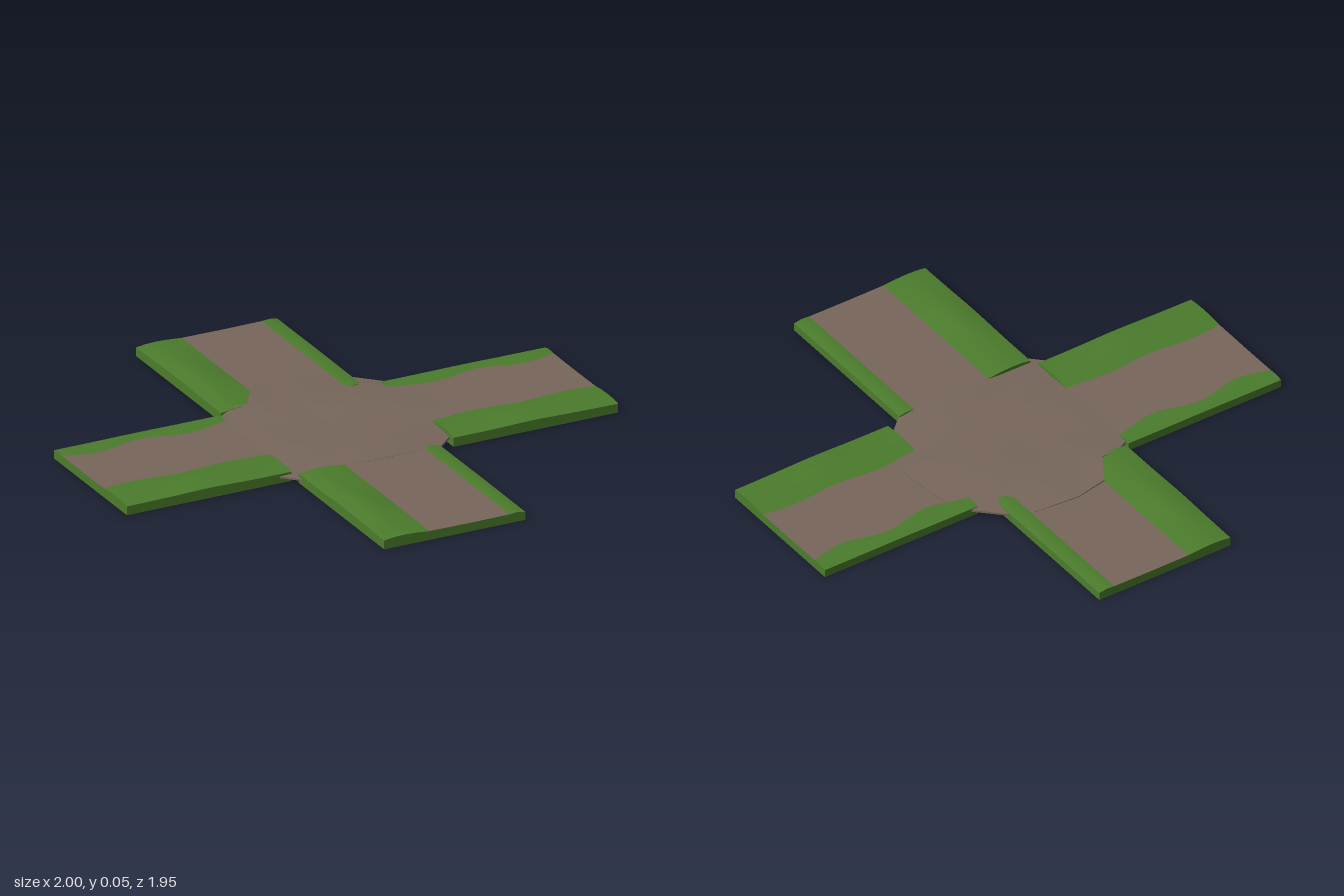
import * as THREE from 'three';
import { toCreasedNormals } from 'three/addons/utils/BufferGeometryUtils.js';

const grass = new THREE.MeshStandardMaterial({ name: 'grass', color: 0x4b7c2c });
const dirt = new THREE.MeshStandardMaterial({ name: 'dirt', color: 0x77665a });

// Collects triangles and quads, corners counter-clockwise from outside
class Faces {
  pos = [];
  tri(a, b, c) { this.pos.push(...a, ...b, ...c); }
  quad(a, b, c, d) { this.tri(a, b, c); this.tri(a, c, d); }
  mesh(name, material) {
    const g = new THREE.BufferGeometry();
    g.setAttribute('position', new THREE.Float32BufferAttribute(this.pos, 3));
    const m = new THREE.Mesh(toCreasedNormals(g, 0.6), material);
    m.name = name;
    return m;
  }
}

// Cross-section of a road arm: [across, height, swell, sway of the dirt edge]
const SECTION = [
  [-0.315, 0.038, 0.004, 0], [-0.275, 0.044, 0.007, 0], [-0.235, 0.046, 0.009, 0],
  [-0.185, 0.043, 0.005, 0], [-0.13, 0.037, 0, -0.4],
  [0.035, 0.036, 0, 0],
  [0.195, 0.037, 0, 1], [0.228, 0.040, 0.002, 0.5], [0.26, 0.034, 0.001, 0],
];
const DIRT_FIRST = 4, DIRT_LAST = 6;

// One arm running along z from v0 to v1
function createArm(name, v0, v1, sway) {
  const steps = 16, rows = [];
  for (let i = 0; i <= steps; i++) {
    const v = v0 + (v1 - v0) * i / steps, d = Math.abs(v);
    const swell = Math.exp(-(((d - 0.66) / 0.13) ** 2)) - 0.25 * Math.max(0, d - 0.85) / 0.12;
    const wave = -sway * Math.cos(2 * Math.PI * (d - 0.5) / 0.37);
    rows.push(SECTION.map(([u, h, s, w]) => [u + w * wave + (w === 1 ? -sway * 0.7 : 0), h + s * swell, v]));
  }
  const green = new Faces(), brown = new Faces();
  const low = ([x, , z]) => [x, 0.002, z];
  const last = SECTION.length - 1;
  for (let i = 0; i < steps; i++) {
    const a = rows[i], b = rows[i + 1];
    for (let j = 0; j < last; j++) {
      const f = j >= DIRT_FIRST && j < DIRT_LAST ? brown : green;
      f.quad(a[j], b[j], b[j + 1], a[j + 1]);
    }
    // long sides
    green.quad(low(a[0]), low(b[0]), b[0], a[0]);
    green.quad(low(b[last]), low(a[last]), a[last], b[last]);
  }
  // ends and underside
  const s = rows[0], e = rows[steps];
  for (let j = 0; j < last; j++) {
    green.quad(low(s[j + 1]), low(s[j]), s[j], s[j + 1]);
    green.quad(low(e[j]), low(e[j + 1]), e[j + 1], e[j]);
  }
  green.quad(low(s[0]), low(s[last]), low(e[last]), low(e[0]));
  const arm = new THREE.Group();
  arm.name = name;
  arm.add(green.mesh('grassVerge', grass), brown.mesh('dirtTrack', dirt));
  return arm;
}

// Worn patch where the tracks meet: an irregular low dome, rim as [x, z, height]
function createCrossing() {
  const rim = [
    [0.36, -0.30, 0.030], [0.42, -0.19, 0.040], [0.44, 0, 0.039], [0.42, 0.08, 0.038],
    [0.35, 0.19, 0.031], [0.33, 0.24, 0.030], [0.26, 0.305, 0.030], [0.19, 0.315, 0.037],
    [-0.12, 0.315, 0.037], [-0.20, 0.32, 0.030], [-0.315, 0.335, 0.028], [-0.38, 0.27, 0.028],
    [-0.345, 0.20, 0.029], [-0.34, 0.08, 0.037], [-0.34, -0.2, 0.037], [-0.325, -0.29, 0.036],
    [-0.25, -0.33, 0.046], [-0.20, -0.325, 0.047], [-0.13, -0.44, 0.042], [0, -0.465, 0.039],
    [0.18, -0.45, 0.038], [0.215, -0.39, 0.032], [0.26, -0.40, 0.030],
  ];
  const f = new Faces(), rings = 5;
  const at = ([x, z, h], k) => {
    const t = k / rings, px = x * t, pz = z * t;
    const bump = 0.009 * Math.exp(-((px - 0.18) ** 2 + (pz + 0.2) ** 2) / 0.025) * (1 - t ** 4);
    return [px, 0.041 + (h - 0.041) * t ** 3 + bump, pz];
  };
  const low = ([x, z]) => [x, 0.022, z];
  rim.forEach((p, i) => {
    const q = rim[(i + 1) % rim.length];
    f.tri(at(p, 0), at(q, 1), at(p, 1));
    for (let k = 1; k < rings; k++) f.quad(at(p, k), at(q, k), at(q, k + 1), at(p, k + 1));
    f.quad(low(q), low(p), at(p, rings), at(q, rings));
    f.tri([0, 0.022, 0], low(p), low(q));
  });
  // dome faces wind the other way from their ring order, so flip those facing down
  const pos = f.pos;
  for (let i = 0; i < pos.length; i += 9) {
    const [ax, ay, az, bx, by, bz, cx, cy, cz] = pos.slice(i, i + 9);
    const n = new THREE.Vector3(bx - ax, by - ay, bz - az).cross(new THREE.Vector3(cx - ax, cy - ay, cz - az));
    const mid = new THREE.Vector3(ax + bx + cx, 0, az + bz + cz);
    const bottom = Math.max(ay, by, cy) < 0.0221;
    const wall = !bottom && Math.min(ay, by, cy) < 0.0221;
    const outward = wall ? n.dot(mid) : bottom ? -n.y : n.y;
    if (outward < 0) pos.splice(i + 3, 6, cx, cy, cz, bx, by, bz);
  }
  return f.mesh('crossing', dirt);
}

export function createModel() {
  const model = new THREE.Group();
  model.name = 'crossroads';
  model.add(createArm('frontArm', 0.30, 0.972, 0), createArm('backArm', -0.976, -0.31, 0));
  // side arms are turned a quarter, wide verge to the front
  const sides = new THREE.Group();
  sides.name = 'sideArms';
  sides.add(createArm('leftArm', 0.33, 1, 0.018), createArm('rightArm', -1, -0.33, 0.018));
  sides.rotation.y = Math.PI / 2;
  sides.position.z = -0.042;
  model.add(sides, createCrossing());
  model.position.y = -0.002;
  return model;
}
